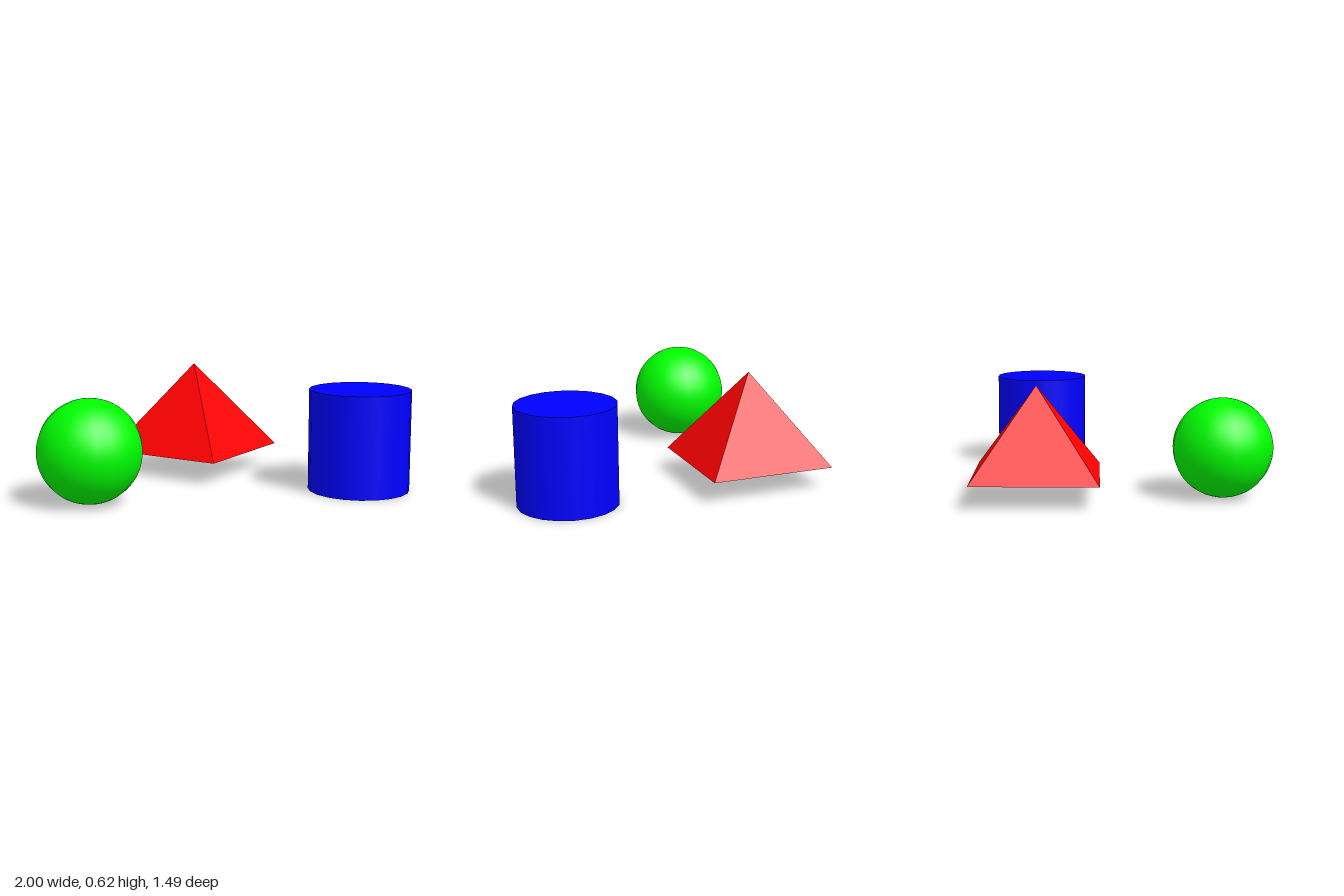
import * as THREE from 'three';

export function createModel() {
  const model = new THREE.Group();
  const R = 0.2725;

  const add = (name, geometry, color, x, y, z, flatShading = false) => {
    const material = new THREE.MeshStandardMaterial({ color, flatShading });
    const mesh = new THREE.Mesh(geometry, material);
    mesh.name = name;
    mesh.position.set(x, y, z);
    model.add(mesh);
  };

  // Smooth ball on the right
  add('sphere', new THREE.SphereGeometry(R, 20, 32), 0x00ff00, -0.7275, R + 0.002, 0.4725);

  // Upright drum on the left
  add('cylinder', new THREE.CylinderGeometry(R, R, 2 * R, 20), 0x0000ff, 0.7275, R, 0.4725);

  // Four-sided pyramid at the back, one corner towards the front
  add('pyramid', new THREE.ConeGeometry(0.49, 0.49, 4), 0xff0000, -0.02, 0.37, -0.257, true);

  return model;
}
